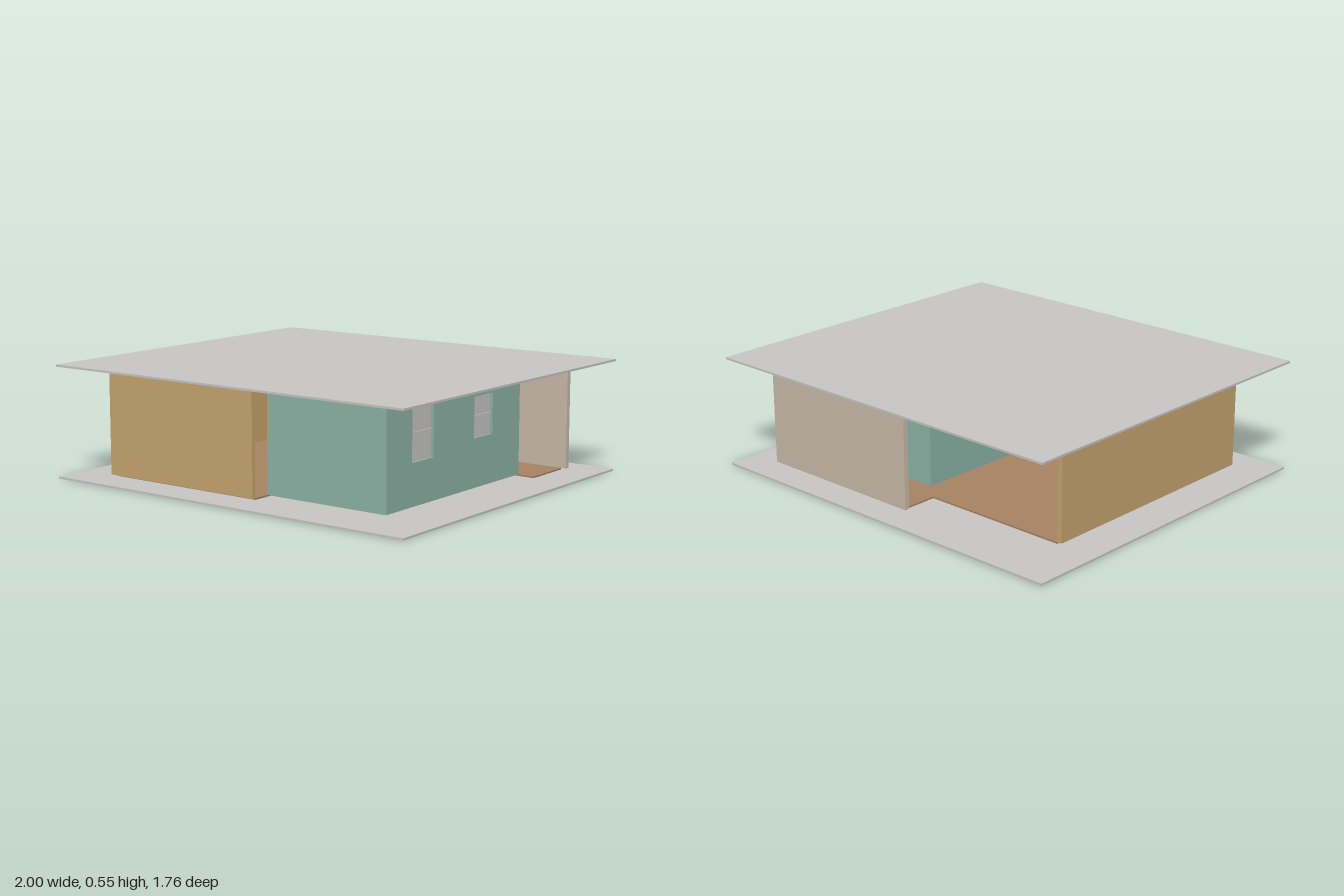
import * as THREE from 'three';

const mat = (name, color) => {
  const m = new THREE.MeshStandardMaterial({ color });
  m.name = name;
  return m;
};

export function createModel() {
  const house = new THREE.Group();
  house.name = 'house';
  const grey = mat('pale grey', 0xc9c7c5);
  const tan = mat('tan', 0xc8a570);
  const teal = mat('teal', 0x8db3a7);
  const beige = mat('beige', 0xcabbab);
  const brown = mat('floor brown', 0xa88464);

  const add = (name, geometry, material) => {
    const mesh = new THREE.Mesh(geometry, material);
    mesh.name = name;
    house.add(mesh);
    return mesh;
  };
  // Box given by its lower and upper limits on each axis
  const block = (name, material, x0, x1, y0, y1, z0, z1) =>
    add(name, new THREE.BoxGeometry(x1 - x0, y1 - y0, z1 - z0), material)
      .position.set((x0 + x1) / 2, (y0 + y1) / 2, (z0 + z1) / 2);
  // Flat slab from an outline in x and z
  const slab = (name, material, outline, bottom, top) => {
    const shape = new THREE.Shape(outline.map(([x, z]) => new THREE.Vector2(x, z)));
    const g = new THREE.ExtrudeGeometry(shape, { depth: top - bottom, bevelEnabled: false });
    add(name, g.rotateX(Math.PI / 2), material).position.y = top;
  };

  const low = 0.018, high = 0.53, t = 0.025;

  // Ground plate and flat roof
  block('groundSlab', grey, -1, 1, 0, 0.01, -0.88, 0.88);
  block('roof', grey, -1, 1, 0.537, 0.547, -0.88, 0.88);

  // Stepped floor around the inner room, with the ceiling above it
  const plan = [[-0.785, 0.7], [0.065, 0.7], [0.065, -0.455], [0.81, -0.455],
    [0.81, -0.71], [-0.03, -0.71], [-0.03, -0.535], [-0.785, -0.535]];
  slab('floor', brown, plan, 0.01, low);
  slab('ceiling', grey, plan, high, 0.537);
  block('roomFloor', teal, 0.09, 0.7, 0.01, low, -0.43, 0.59);
  block('roomCeiling', grey, 0.065, 0.7, high, 0.537, -0.455, 0.59);

  // Free-standing outer walls
  block('frontWall', tan, -0.81, 0.065, low, high, 0.7, 0.72);
  block('leftWall', tan, -0.81, -0.785, low, high, -0.535, 0.7);
  block('backWall', beige, -0.05, 0.835, low, high, -0.735, -0.71);

  // Inner room: three plain walls
  block('roomFrontWall', teal, 0.065, 0.7, low, high, 0.59, 0.615);
  block('roomBackWall', teal, 0.065, 0.7, low, high, -0.455, -0.43);
  block('roomInnerWall', teal, 0.065, 0.09, low, high, -0.43, 0.59);

  // Inner room: side wall with two window openings
  const rect = (path, z0, z1, y0, y1) => path.moveTo(z0, y0).lineTo(z1, y0)
    .lineTo(z1, y1).lineTo(z0, y1).closePath();
  const wall = rect(new THREE.Shape(), -0.455, 0.615, low, high);
  const windows = [[0.26, 0.425, 0.215, 0.467], [-0.22, -0.065, 0.25, 0.443]];
  for (const [z0, z1, y0, y1] of windows) {
    wall.holes.push(rect(new THREE.Path(), z0, z1, y0, y1));
    // Pane with a raised middle rail, set back in the opening
    const mid = (y0 + y1) / 2;
    block('windowPane', grey, 0.703, 0.71, y0, y1, z0, z1);
    block('windowRail', grey, 0.71, 0.715, mid - 0.006, mid + 0.006, z0, z1);
  }
  const sideWall = new THREE.ExtrudeGeometry(wall, { depth: t, bevelEnabled: false });
  add('roomSideWall', sideWall.rotateY(-Math.PI / 2), teal).position.x = 0.725;

  return house;
}
